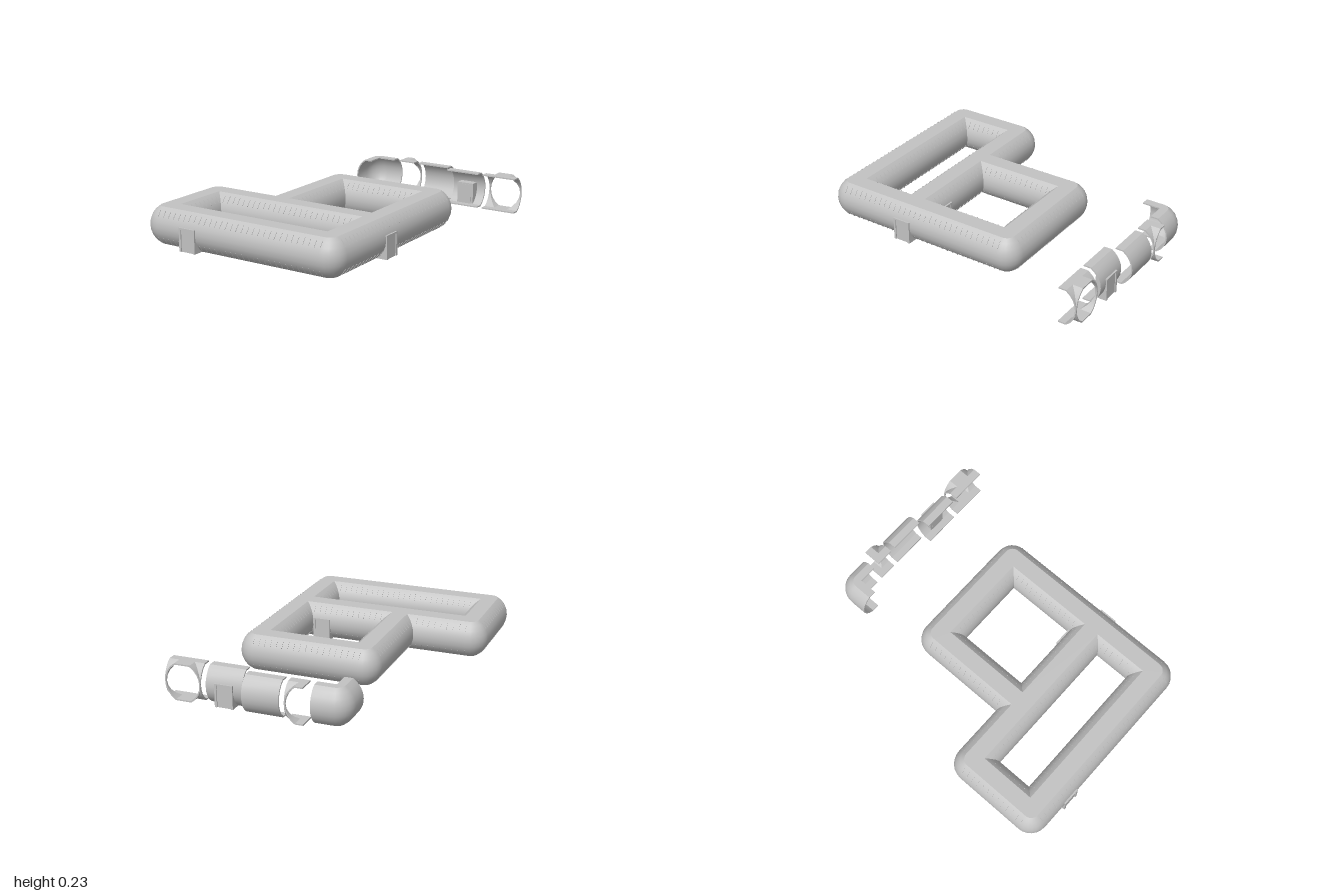
import * as THREE from 'three';
import { mergeGeometries, toCreasedNormals } from 'three/addons/utils/BufferGeometryUtils.js';

const U = 0.2316, H = U / 2;             // corridor width and half width
const INSET = 0.065;                     // how far the flat roof sits in from the wall
const R = (INSET * INSET + H * H) / (2 * INSET);
const A = Math.asin(H / R);
const X0 = -0.787, X1 = X0 + 6 * U, Z1 = 0.992, Z0 = Z1 - 6 * U;

const grey = new THREE.MeshStandardMaterial({ color: 0xc2c2c2, side: THREE.DoubleSide });
grey.name = 'hull grey';

// bulging wall profile: [inset from wall line, y], floor to roof
const arc = (t = 0, n = 8) => Array.from({ length: n + 1 }, (_, k) => {
  const a = -A + (2 * A * k) / n, r = R - t;
  return [R - r * Math.cos(a), H + (H - t) * Math.sin(a) / Math.sin(A)];
});

// skin over rows of points; each row closes on itself
function skin(rows, capped) {
  const n = rows[0].length, pos = rows.flat().flatMap(p => [p.x, p.y, p.z]), idx = [];
  for (let j = 0; j < rows.length - 1; j++) {
    for (let i = 0; i < n; i++) {
      const a = j * n + i, b = j * n + (i + 1) % n;
      idx.push(a, a + n, b, b, a + n, b + n);
    }
  }
  if (capped) {
    const tris = THREE.ShapeUtils.triangulateShape(SECTION.map(p => new THREE.Vector2(...p)), []);
    const last = (rows.length - 1) * n;
    tris.forEach(([a, b, c]) => idx.push(a, b, c, last + a, last + c, last + b));
  }
  const g = new THREE.BufferGeometry();
  g.setAttribute('position', new THREE.Float32BufferAttribute(pos, 3));
  g.setIndex(idx);
  return toCreasedNormals(g, 0.45);
}

// closed cross-section of a thin half corridor
const T = 0.008;
const SECTION = [[H, 0], ...arc(), [H, 2 * H], [H, 2 * H - T], ...arc(T).reverse(), [H, T]];

function add(parent, geo, name) {
  const m = new THREE.Mesh(geo, grey);
  m.name = name;
  parent.add(m);
  return m;
}

// outer outline moved inward by d
function outline(d) {
  const pts = [];
  const corner = (cx, cz, quarter) => {
    for (let k = 0; k <= 6; k++) {
      const a = (quarter + k / 6) * Math.PI / 2;
      pts.push([cx + (H - d) * Math.cos(a), cz + (H - d) * Math.sin(a)]);
    }
  };
  corner(X0 + 2 * U + H, Z0 + H, 2);
  corner(X1 - H, Z0 + H, 3);
  corner(X1 - H, Z1 - H, 0);
  corner(X0 + H, Z1 - H, 1);
  corner(X0 + H, Z0 + 3 * U + H, 2);
  pts.push([X0 + 2 * U + d, Z0 + 3 * U + d]);
  return pts;
}
// courtyard edge moved outward by d
const court = ([x0, z0, x1, z1]) => d =>
  [[x0 - d, z0 - d], [x0 - d, z1 + d], [x1 + d, z1 + d], [x1 + d, z0 - d]];
const courts = [
  [X0 + 3 * U, Z0 + U, X1 - U, Z0 + 3 * U],
  [X0 + U, Z0 + 4 * U, X1 - U, Z1 - U],
];

// doorway facing +z, its origin on the wall line
function doorway(name, x, z, turn) {
  const g = new THREE.Group();
  g.name = name;
  const w = 0.116, h = 0.146, jamb = 0.014, depth = 0.075;
  const box = (sx, sy, sz, px, py, pz, n) =>
    add(g, new THREE.BoxGeometry(sx, sy, sz).translate(px, py, pz), n);
  for (const s of [-1, 1]) {
    box(jamb, h, depth, s * (w - jamb) / 2, h / 2, 0.007 - depth / 2, 'doorJamb');
  }
  box(w - 2 * jamb, 0.01, depth, 0, h - 0.005, 0.007 - depth / 2, 'doorLintel');
  box(w - 2 * jamb, h - 0.01, depth - 0.004, 0, (h - 0.01) / 2, 0.003 - depth / 2, 'doorPanel');
  g.position.set(x, 0, z);
  g.rotation.y = turn;
  return g;
}

// thin seam ribs on the upper and lower slopes of a wall
function ribs(cx, cz, turn, length) {
  const parts = [], n = Math.round(length / (U / 6));
  for (let k = 0; k <= n; k++) {
    for (const s of [-1, 1]) {
      const a = s * 0.66;
      parts.push(new THREE.BoxGeometry(0.003, 0.045, 0.003).rotateX(-a)
        .translate((k / n - 0.5) * length, H + R * Math.sin(a), -R * (1 - Math.cos(a))));
    }
  }
  return mergeGeometries(parts).rotateY(turn).translate(cx, 0, cz);
}

function complex() {
  const g = new THREE.Group();
  g.name = 'corridorComplex';
  const wall = (contour, name) => add(g, skin(arc().map(([d, y]) =>
    contour(d).map(([x, z]) => new THREE.Vector3(x, y, z)))), name);
  wall(outline, 'outerWall');
  courts.forEach(c => wall(court(c), 'courtyardWall'));

  // flat roof and floor
  const toVec = pts => pts.map(p => new THREE.Vector2(...p));
  const shape = new THREE.Shape(toVec(outline(INSET)));
  courts.forEach(c => shape.holes.push(new THREE.Path(toVec(court(c)(INSET)))));
  const flat = new THREE.ShapeGeometry(shape).rotateX(Math.PI / 2);
  add(g, flat.clone().scale(1, 1, 1), 'floor');
  const roof = flat.clone();
  const index = roof.index.array;
  for (let i = 0; i < index.length; i += 3) [index[i], index[i + 1]] = [index[i + 1], index[i]];
  roof.computeVertexNormals();
  add(g, roof.translate(0, 2 * H, 0), 'roof');

  // seam ribs along every straight wall: centre x, centre z, facing, length
  const q = Math.PI / 2, walls = [
    [X0 + 3 * U, Z1, 0, 5 * U], [X1, Z0 + 3 * U, q, 5 * U], [X0 + 4 * U, Z0, 2 * q, 3 * U],
    [X0, Z0 + 4.5 * U, -q, 2 * U], [X0 + 2 * U, Z0 + 1.75 * U, -q, 2.5 * U - 0.02],
    [X0 + 1.25 * U, Z0 + 3 * U, 2 * q, 1.5 * U - 0.02],
  ];
  for (const [x0, z0, x1, z1] of courts) {
    const mx = (x0 + x1) / 2, mz = (z0 + z1) / 2;
    walls.push([mx, z0, 0, x1 - x0], [mx, z1, 2 * q, x1 - x0],
      [x0, mz, q, z1 - z0], [x1, mz, -q, z1 - z0]);
  }
  add(g, mergeGeometries(walls.map(w => ribs(...w))), 'seamRibs');

  g.add(doorway('frontDoorway', -0.438, Z1, 0));
  g.add(doorway('sideDoorway', X1, 0.417, q));
  g.add(doorway('courtyardDoorway', 0.312, Z0 + 3 * U, 2 * q));
  return g;
}

// loose half-corridor parts; each station maps (inset, y) to a point
const sweep = stations => skin(stations.map(f => SECTION.map(([i, y]) => f(i, y))), true);
const straight = (x0, x1, z) => sweep([x0, x1].map(x => (i, y) => new THREE.Vector3(x, y, z + i)));

// inward corner: two wedges meeting on the diagonal; s is the side it grows to
function inwardCorner(x, z, s) {
  return mergeGeometries([
    sweep([0, 1].map(k => (i, y) => new THREE.Vector3(x + s * k * i, y, z + i))),
    sweep([0, 1].map(k => (i, y) => new THREE.Vector3(x + s * i, y, z + k * i))),
  ]);
}

function looseParts() {
  const g = new THREE.Group();
  g.name = 'looseParts';
  const back = -1, near = -0.94;

  // rounded outer corner
  const cx = -0.388 + H, cz = back + H;
  const turnAt = (a, dx, dz) => (i, y) => new THREE.Vector3(
    cx + dx + Math.cos(a) * (H - i), y, cz + dz + Math.sin(a) * (H - i));
  const bend = Array.from({ length: 7 }, (_, k) => turnAt(Math.PI * (1 + k / 12), 0, 0));
  add(g, sweep([turnAt(Math.PI, 0, H), ...bend, turnAt(Math.PI * 1.5, H, 0)]), 'outerCornerPart');

  add(g, inwardCorner(0.002, back, -1), 'innerCornerPart');
  add(g, straight(0.035, 0.035 + U, back), 'straightPart');
  add(g, straight(0.29, 0.29 + U, near), 'doorPart');
  g.add(doorway('looseDoorway', 0.29 + H, near, Math.PI));

  // junction with a side opening
  add(g, inwardCorner(0.787 - U, near, 1), 'junctionRightHalf');
  add(g, inwardCorner(0.787, near, -1), 'junctionLeftHalf');
  return g;
}

export function createModel() {
  const model = new THREE.Group();
  model.name = 'modularCorridors';
  model.add(complex(), looseParts());
  return model;
}
